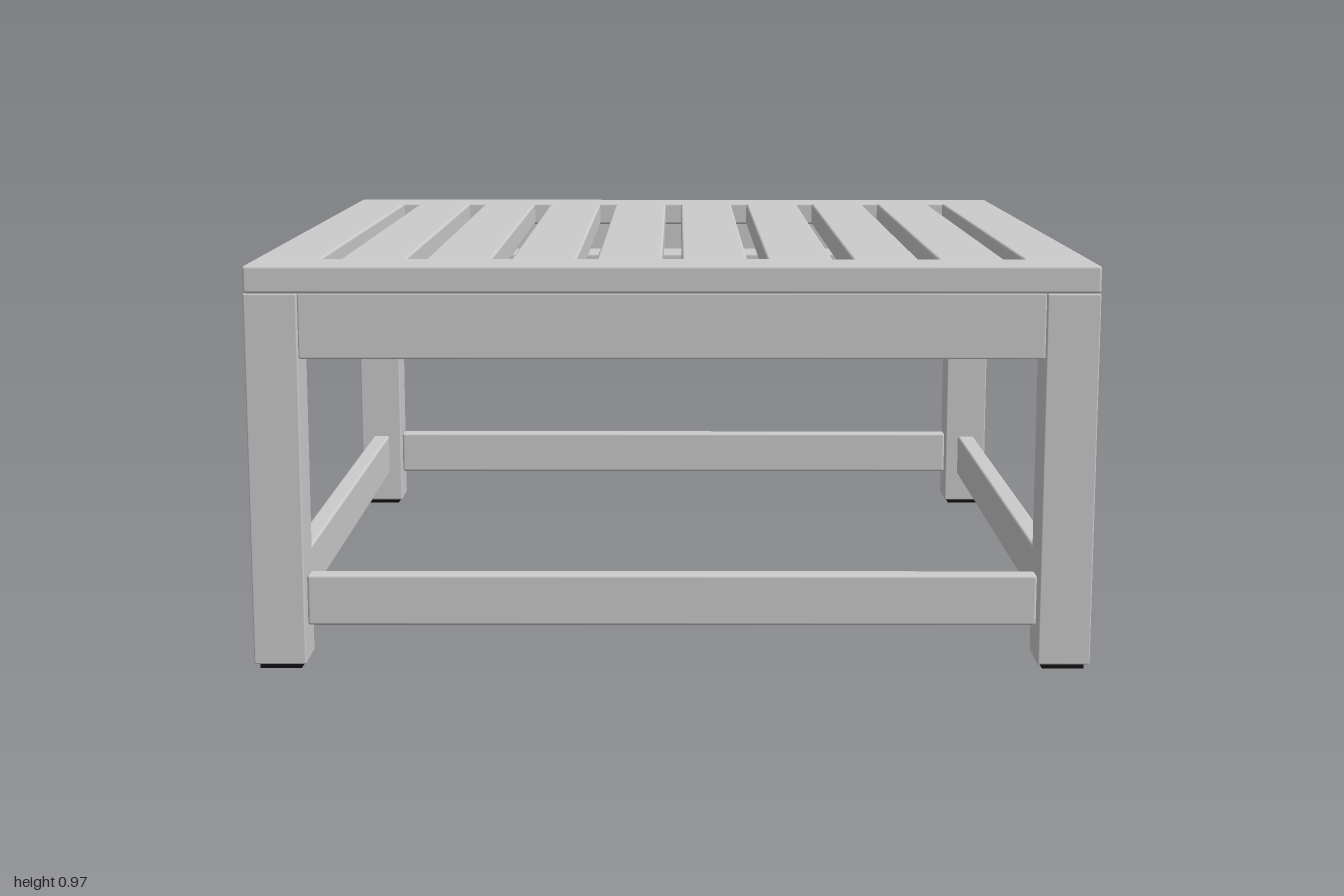
import * as THREE from 'three';
import { RoundedBoxGeometry } from 'three/addons/geometries/RoundedBoxGeometry.js';

const wood = new THREE.MeshStandardMaterial({ color: 0xcccccc });
const rubber = new THREE.MeshStandardMaterial({ color: 0x111111 });

// Timber with softly eased edges, centred on (x, y, z)
function board(parent, name, w, h, d, x, y, z, radius = 0.007) {
  const mesh = new THREE.Mesh(new RoundedBoxGeometry(w, h, d, 2, radius), wood);
  mesh.name = name;
  mesh.position.set(x, y, z);
  parent.add(mesh);
  return mesh;
}

// Bent metal strip across the inside of a corner, with a bolt into the leg
function cornerBracket() {
  const group = new THREE.Group();
  const t = 0.006;
  const outline = [
    [0.929, 0.72], [0.929, 0.79], [0.79, 0.929], [0.72, 0.929],
    [0.72, 0.929 - t], [0.79 - t * 0.4, 0.929 - t], [0.929 - t, 0.79 - t * 0.4], [0.929 - t, 0.72],
  ];
  const shape = new THREE.Shape(outline.map(([x, z]) => new THREE.Vector2(x, -z)));
  const geometry = new THREE.ExtrudeGeometry(shape, { depth: 0.085, bevelEnabled: false });
  geometry.rotateX(-Math.PI / 2);
  const strip = new THREE.Mesh(geometry, wood);
  strip.name = 'bracketStrip';
  strip.position.y = 0.79;
  group.add(strip);

  const bolt = new THREE.Mesh(new THREE.CylinderGeometry(0.008, 0.008, 0.05, 12), wood);
  bolt.name = 'bracketBolt';
  bolt.rotation.set(Math.PI / 2, 0, 0);
  const holder = new THREE.Group();
  holder.position.set(0.86, 0.833, 0.86);
  holder.rotation.y = Math.PI / 4;
  holder.add(bolt);
  group.add(holder);
  return group;
}

export function createModel() {
  const table = new THREE.Group();
  table.name = 'slattedTable';

  // Top: ten slats between two end boards
  const topY = 0.9375, thick = 0.065;
  for (let i = 0; i < 10; i++) {
    board(table, 'topSlat', 0.157, thick, 1.68, -0.9215 + i * 0.2048, topY, 0);
  }
  for (const s of [-1, 1]) board(table, 'endBoard', 2, thick, 0.158, 0, topY, s * 0.921);

  // Cross bar under the slats
  board(table, 'centreBar', 1.86, 0.065, 0.15, 0, 0.8725, -0.003);

  // Legs with rubber feet
  for (const sx of [-1, 1]) {
    for (const sz of [-1, 1]) {
      board(table, 'leg', 0.125, 0.893, 0.125, sx * 0.9375, 0.4585, sz * 0.9375, 0.004);
      const foot = new THREE.Mesh(new THREE.BoxGeometry(0.1, 0.014, 0.1), rubber);
      foot.name = 'foot';
      foot.position.set(sx * 0.9375, 0.007, sz * 0.9375);
      table.add(foot);
    }
  }

  // Each quarter turn: apron, lower stretcher and corner bracket
  for (let i = 0; i < 4; i++) {
    const side = new THREE.Group();
    side.name = 'frameSide';
    side.rotation.y = i * Math.PI / 2;
    board(side, 'apron', 1.75, 0.155, 0.062, 0, 0.8275, 0.961, 0.004);
    board(side, 'stretcher', 1.75, 0.124, 0.05, 0, 0.16, 0.9375);
    const bracket = cornerBracket();
    bracket.name = 'cornerBracket';
    side.add(bracket);
    table.add(side);
  }
  return table;
}
